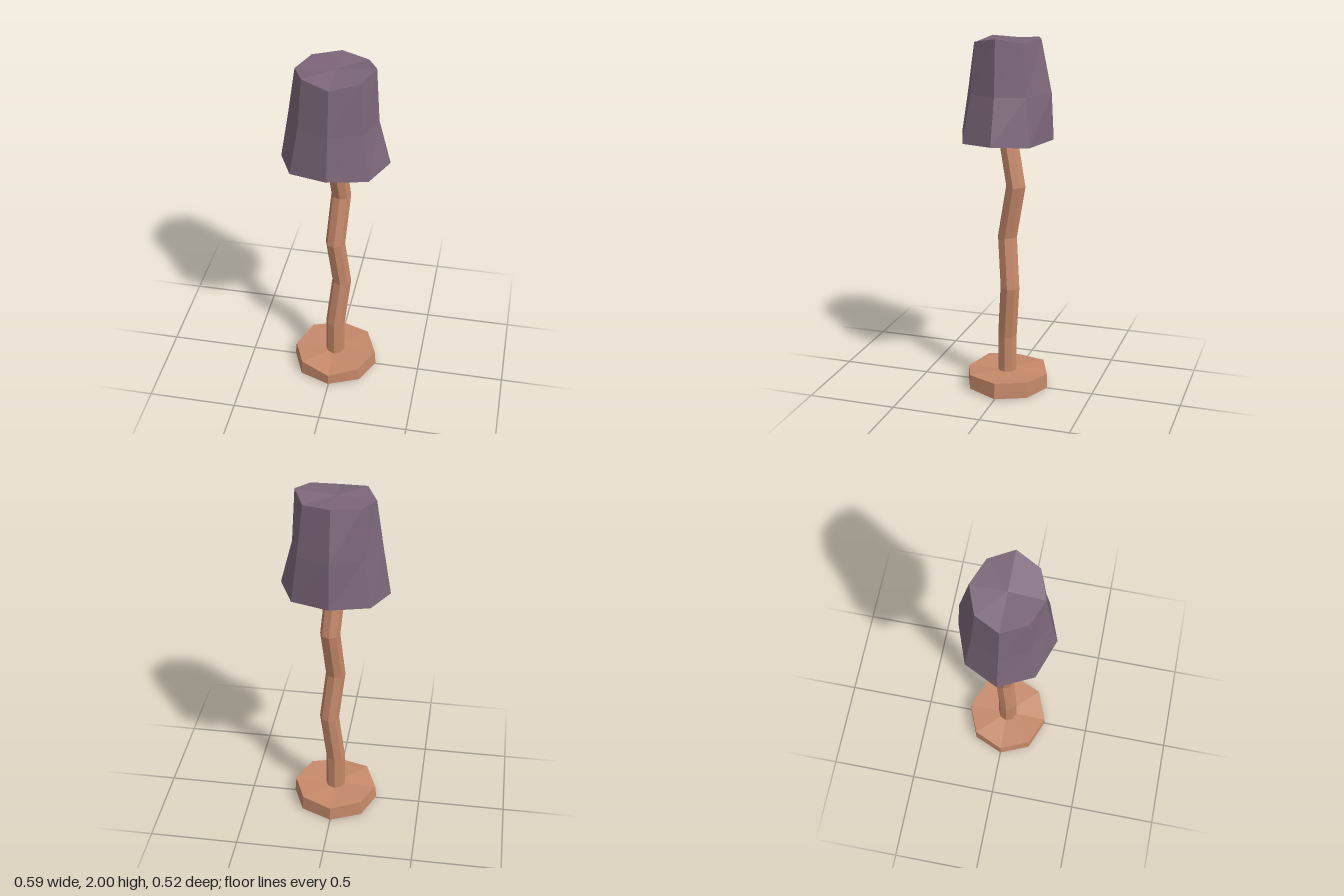
import * as THREE from 'three';

const SIDES = 8;
const wood = new THREE.MeshStandardMaterial({ color: 0xc68a69, flatShading: true });
const fabric = new THREE.MeshStandardMaterial({ color: 0x7b6679, flatShading: true });
const grey = new THREE.MeshStandardMaterial({ color: 0xcccccc, flatShading: true });

// Eight-sided ring around (cx, cz), starting at +x and turning towards +z.
// heights is one y or one per corner; bumps scales single corners.
function ring(rx, rz, heights, { cx = 0, cz = 0, bumps = [] } = {}) {
  return Array.from({ length: SIDES }, (_, i) => {
    const a = (i / SIDES) * Math.PI * 2;
    const s = bumps[i] ?? 1;
    const y = Array.isArray(heights) ? heights[i] : heights;
    return new THREE.Vector3(cx + Math.cos(a) * rx * s, y, cz + Math.sin(a) * rz * s);
  });
}

// Skin through rings, with optional end caps.
function loft(name, rings, material, capStart = true) {
  const points = rings.flat();
  const index = [];
  for (let r = 0; r < rings.length - 1; r++) {
    for (let i = 0; i < SIDES; i++) {
      const j = (i + 1) % SIDES;
      const a = r * SIDES + i, b = r * SIDES + j;
      index.push(a, a + SIDES, b, b, a + SIDES, b + SIDES);
    }
  }
  const cap = (r, up) => {
    const centre = new THREE.Vector3();
    rings[r].forEach((p) => centre.addScaledVector(p, 1 / SIDES));
    const c = points.push(centre) - 1;
    for (let i = 0; i < SIDES; i++) {
      const a = r * SIDES + i, b = r * SIDES + ((i + 1) % SIDES);
      index.push(c, up ? b : a, up ? a : b);
    }
  };
  if (capStart) cap(0, false);
  cap(rings.length - 1, true);

  const geometry = new THREE.BufferGeometry().setFromPoints(points);
  geometry.setIndex(index);
  geometry.computeVertexNormals();
  const mesh = new THREE.Mesh(geometry, material);
  mesh.name = name;
  return mesh;
}

export function createModel() {
  const model = new THREE.Group();
  model.name = 'floorLamp';

  // Uneven octagonal foot
  model.add(loft('base', [
    ring(0.245, 0.236, [0.005, 0.015, 0.01, 0.005, 0.01, 0.005, 0, 0.005]),
    ring(0.238, 0.236, [0.095, 0.095, 0.075, 0.095, 0.08, 0.095, 0.085, 0.095]),
  ], wood));

  // Crooked pole: height, x and z of each joint
  const joints = [
    [0.08, 0, 0], [0.3, 0, 0], [0.6, 0.032, -0.025],
    [0.885, 0, 0], [1.18, 0.022, -0.055], [1.48, -0.003, 0.003],
  ];
  model.add(loft('pole', joints.map(([y, cx, cz]) => ring(0.055, 0.055, y, { cx, cz })), wood));

  // Wonky shade: shallow recess, inner lip, hem, waist, closed top
  const hem = [1.45, 1.44, 1.46, 1.437, 1.425, 1.437, 1.45, 1.44];
  model.add(loft('shade', [
    ring(0.233, 0.205, 1.475),
    ring(0.233, 0.205, hem),
    ring(0.295, 0.26, hem),
    ring(0.25, 0.222, 1.7, { bumps: [0.92, 0.96, 1, 0.95, 1, 0.97, 1.11, 1.01] }),
    ring(0.211, 0.187, [2, 1.975, 1.95, 1.975, 1.96, 1.975, 1.985, 1.975]),
  ], fabric, false));

  // Flat panel closing the underside of the shade
  const panel = new THREE.Mesh(new THREE.CircleGeometry(1, SIDES).rotateX(Math.PI / 2), grey);
  panel.name = 'shadePanel';
  panel.scale.set(0.233, 1, 0.205);
  panel.position.y = 1.475;
  model.add(panel);

  return model;
}
